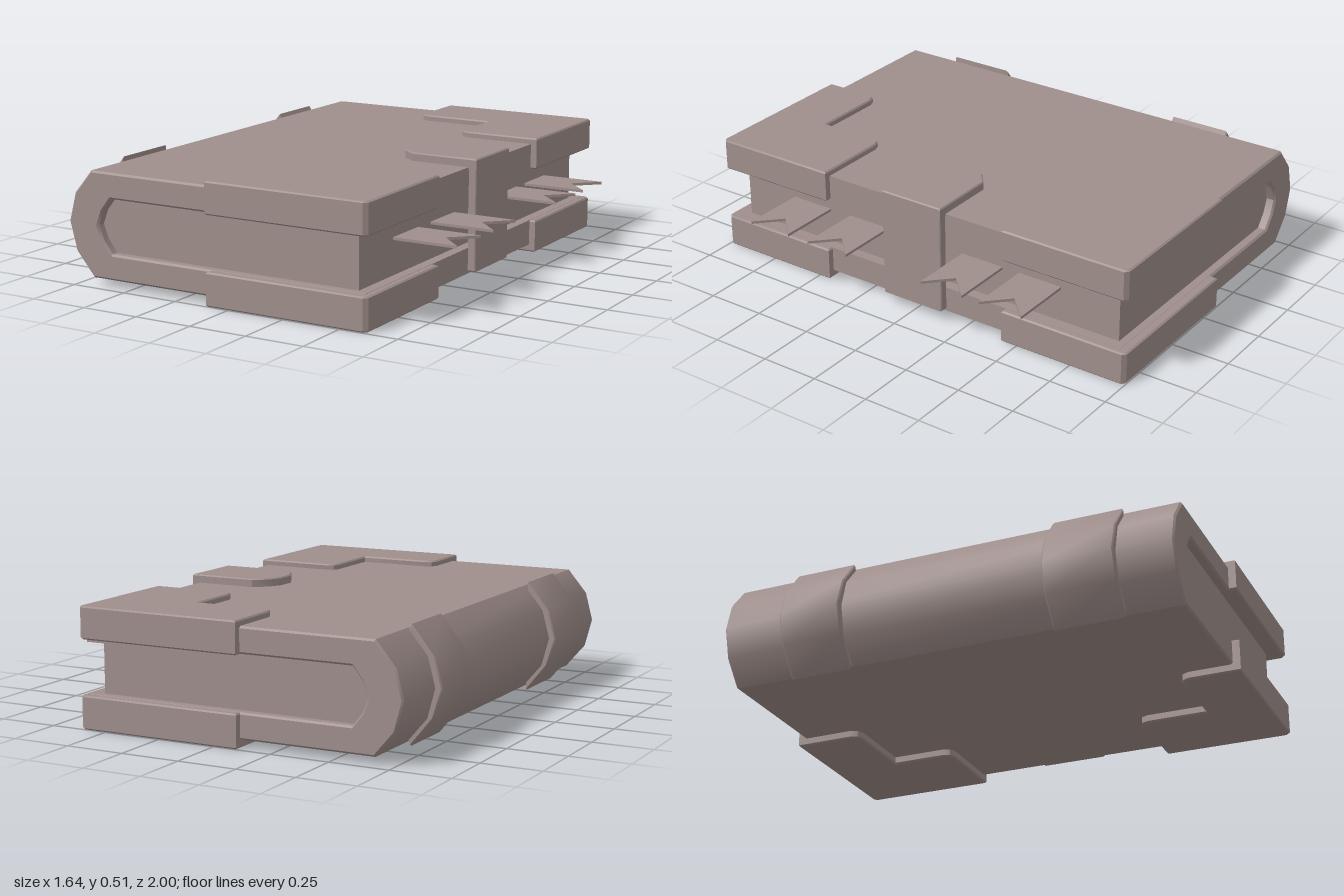
import * as THREE from 'three';
import { toCreasedNormals } from 'three/addons/utils/BufferGeometryUtils.js';

const material = new THREE.MeshStandardMaterial({ color: 0xa08f8c });
const MID = 0.255; // height of the middle of the book

// Outline with softly bevelled edges, extruded from 0 to depth along z
function extrude(points, depth, bevel) {
  const shape = new THREE.Shape(points.map(([x, y]) => new THREE.Vector2(x, y)));
  const geo = new THREE.ExtrudeGeometry(shape, {
    depth: depth - 2 * bevel, bevelEnabled: bevel > 0, bevelSize: bevel,
    bevelThickness: bevel, bevelOffset: -bevel, bevelSegments: 1,
  });
  geo.translate(0, 0, bevel);
  return toCreasedNormals(geo, 0.6);
}

// Profile in x/y running from z0 to z1
function profile(points, z0, z1, bevel) {
  return extrude(points, z1 - z0, bevel).translate(0, 0, z0);
}

// Plan in x/z filling the heights y0 to y1
function slab(points, y0, y1, bevel) {
  return extrude(points, y1 - y0, bevel).rotateX(Math.PI / 2).translate(0, y1, 0);
}

// Mirrors the upper half of an arc to give the whole, top to bottom; the last point lies on the middle
function arc(half) {
  const lower = half.slice(0, -1).reverse().map(([x, y]) => [x, 2 * MID - y]);
  return [...half, ...lower];
}

export function createModel() {
  const book = new THREE.Group();
  book.name = 'book';
  const add = (name, geo) => {
    const mesh = new THREE.Mesh(geo, material);
    mesh.name = name;
    book.add(mesh);
  };

  // Cover: two boards joined by a faceted spine
  const outer = arc([[0.59, 0.475], [-0.675, 0.475], [-0.76, 0.375], [-0.792, MID]]);
  const inner = arc([[0.59, 0.368], [-0.58, 0.368], [-0.622, 0.315], [-0.645, MID]]);
  add('cover', profile([...outer, ...inner.reverse()], -0.97, 0.968, 0.008));

  // Page block, set in from the cover edges
  const pages = arc([[0.545, 0.37], [-0.58, 0.37], [-0.625, 0.315], [-0.65, MID]]);
  add('pages', profile(pages, -0.93, 0.93, 0));

  // Raised bands across the spine
  const bandOuter = arc([[-0.69, 0.49], [-0.785, 0.375], [-0.822, MID]]);
  const bandInner = arc([[-0.675, 0.462], [-0.745, 0.37], [-0.775, MID]]);
  for (const [z0, z1] of [[-0.7, -0.432], [0.44, 0.735]]) {
    add('spineBand', profile([...bandOuter, ...bandInner.reverse()], z0, z1, 0.006));
  }

  // L-shaped corner guards on both boards
  const guard = (side, zArm, zEnd) => [
    [0.6, 1], [0.617, 0.985], [0.617, zEnd], [0.285, zEnd], [0.255, zEnd + 0.012],
    [0.245, zEnd + 0.04], [0.245, zArm], [-0.06, zArm], [-0.09, zArm + 0.012],
    [-0.102, zArm + 0.04], [-0.102, 1],
  ].map(([x, z]) => [x, z * side]);
  for (const plan of [guard(1, 0.742, 0.443), guard(-1, 0.705, 0.43)]) {
    add('upperCornerGuard', slab(plan, 0.367, 0.5, 0.006));
    add('lowerCornerGuard', slab(plan, 0.003, 0.141, 0.006));
  }

  // Clasp: tongue on the upper board and strap down the open side
  const tongue = [
    [0.625, 0.145], [0.33, 0.145], [0.275, 0.1], [0.245, 0.04],
    [0.245, -0.04], [0.275, -0.1], [0.33, -0.145], [0.625, -0.145],
  ];
  add('claspTongue', slab(tongue, 0.46, 0.51, 0.005));
  const strap = [[0.588, 0.045], [0.625, 0.045], [0.625, 0.505], [0.588, 0.505]];
  add('claspStrap', profile(strap, -0.145, 0.145, 0.004));

  // Swallow-tailed ribbon bookmarks
  for (const z of [-0.565, -0.29, 0.28, 0.58]) {
    const ribbon = [
      [0.4, z - 0.098], [0.82, z - 0.098], [0.72, z], [0.82, z + 0.098], [0.4, z + 0.098],
    ];
    add('bookmark', slab(ribbon, 0.282, 0.293, 0));
  }

  return book;
}
